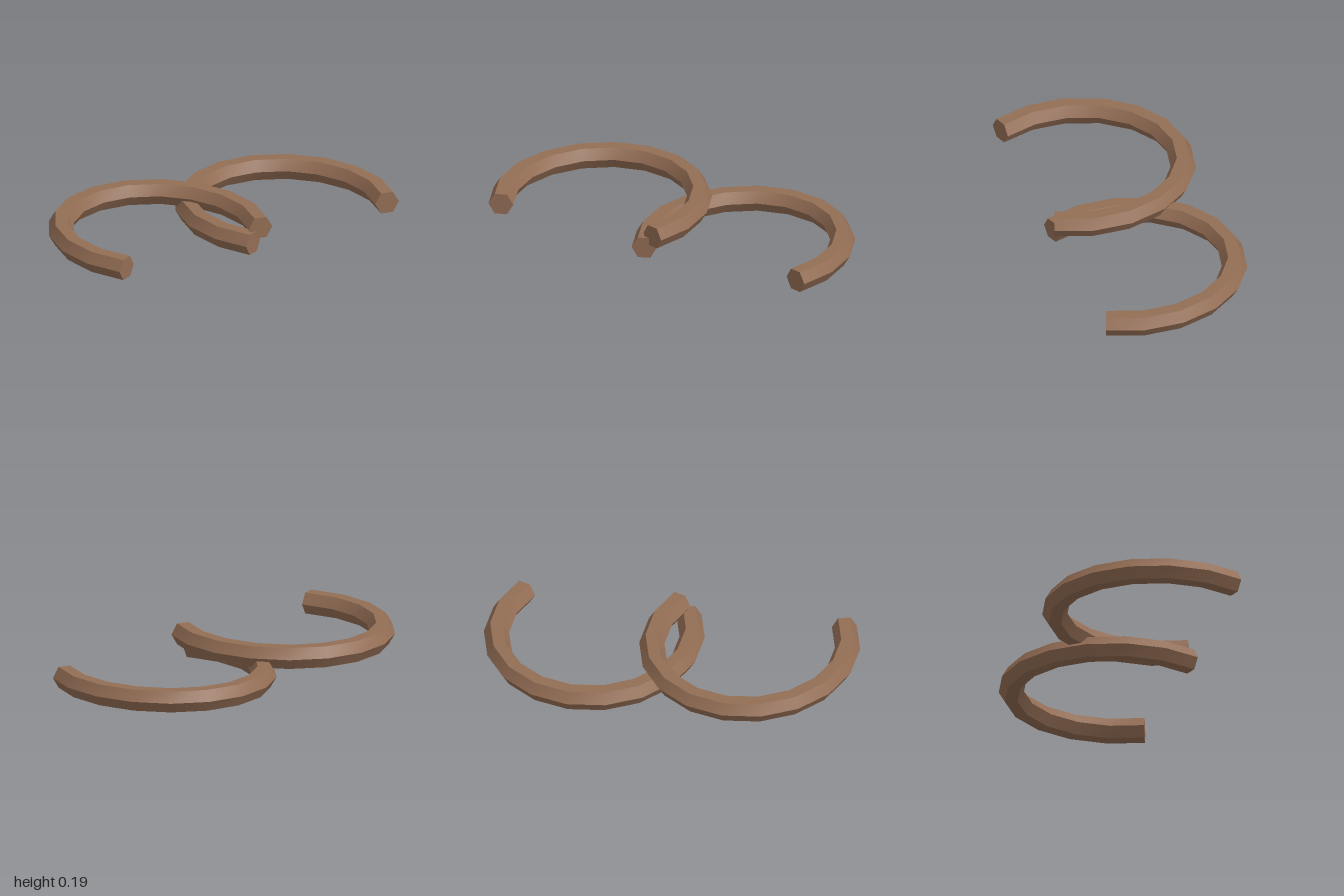
import * as THREE from 'three';

const RX = 0.518, RZ = 0.564, ZC = 0.164;   // centreline half-axes and z centre
const R = 0.0664, SIDES = 6, SEGS = 12;     // hexagonal bar
const STEP = THREE.MathUtils.degToRad(20);

// Open ring: a hexagonal bar swept with mitred joints, smooth along its length, sharp between sides
function openRingGeometry() {
  const path = [];
  for (let i = 0; i <= SEGS; i++) {
    const a = (i - SEGS / 2) * STEP;
    path.push(new THREE.Vector2(RX * Math.sin(a), ZC - RZ * Math.cos(a)));
  }
  const segNormal = (i) => {
    const t = path[i + 1].clone().sub(path[i]).normalize();
    return new THREE.Vector2(t.y, -t.x);
  };
  const rings = path.map((p, i) => {
    const n0 = segNormal(Math.max(i - 1, 0));
    const n1 = segNormal(Math.min(i, SEGS - 1));
    const n = n0.clone().add(n1).normalize();
    n.multiplyScalar(1 / n.dot(n0));
    return Array.from({ length: SIDES }, (_, j) => {
      const b = (j / SIDES) * Math.PI * 2;
      const c = R * Math.cos(b);
      return [p.x + n.x * c, R * Math.sin(b), p.y + n.y * c];
    });
  });

  const pos = [], idx = [];
  // Long sides, each its own strip
  for (let j = 0; j < SIDES; j++) {
    const base = pos.length / 3;
    rings.forEach((r) => pos.push(...r[j], ...r[(j + 1) % SIDES]));
    for (let i = 0; i < SEGS; i++) {
      const a = base + i * 2, d = a + 1, b = a + 2, c = a + 3;
      idx.push(a, d, b, d, c, b);
    }
  }
  // End caps
  [0, SEGS].forEach((end) => {
    const base = pos.length / 3;
    rings[end].forEach((v) => pos.push(...v));
    for (let j = 1; j < SIDES - 1; j++) {
      if (end) idx.push(base, base + j, base + j + 1);
      else idx.push(base, base + j + 1, base + j);
    }
  });

  const geo = new THREE.BufferGeometry();
  geo.setAttribute('position', new THREE.Float32BufferAttribute(pos, 3));
  geo.setIndex(idx);
  geo.computeVertexNormals();
  return geo;
}

export function createModel() {
  const group = new THREE.Group();
  group.name = 'overlappingRings';
  const brown = new THREE.MeshStandardMaterial({ color: 0x936d54 });
  brown.name = 'brown';
  const geo = openRingGeometry();

  // Right ring rests on top of the left one
  [['leftRing', 0.424, 0.0575], ['rightRing', -0.424, 0.1325]].forEach(([name, x, y]) => {
    const ring = new THREE.Mesh(geo, brown);
    ring.name = name;
    ring.position.set(x, y, 0);
    group.add(ring);
  });
  return group;
}
